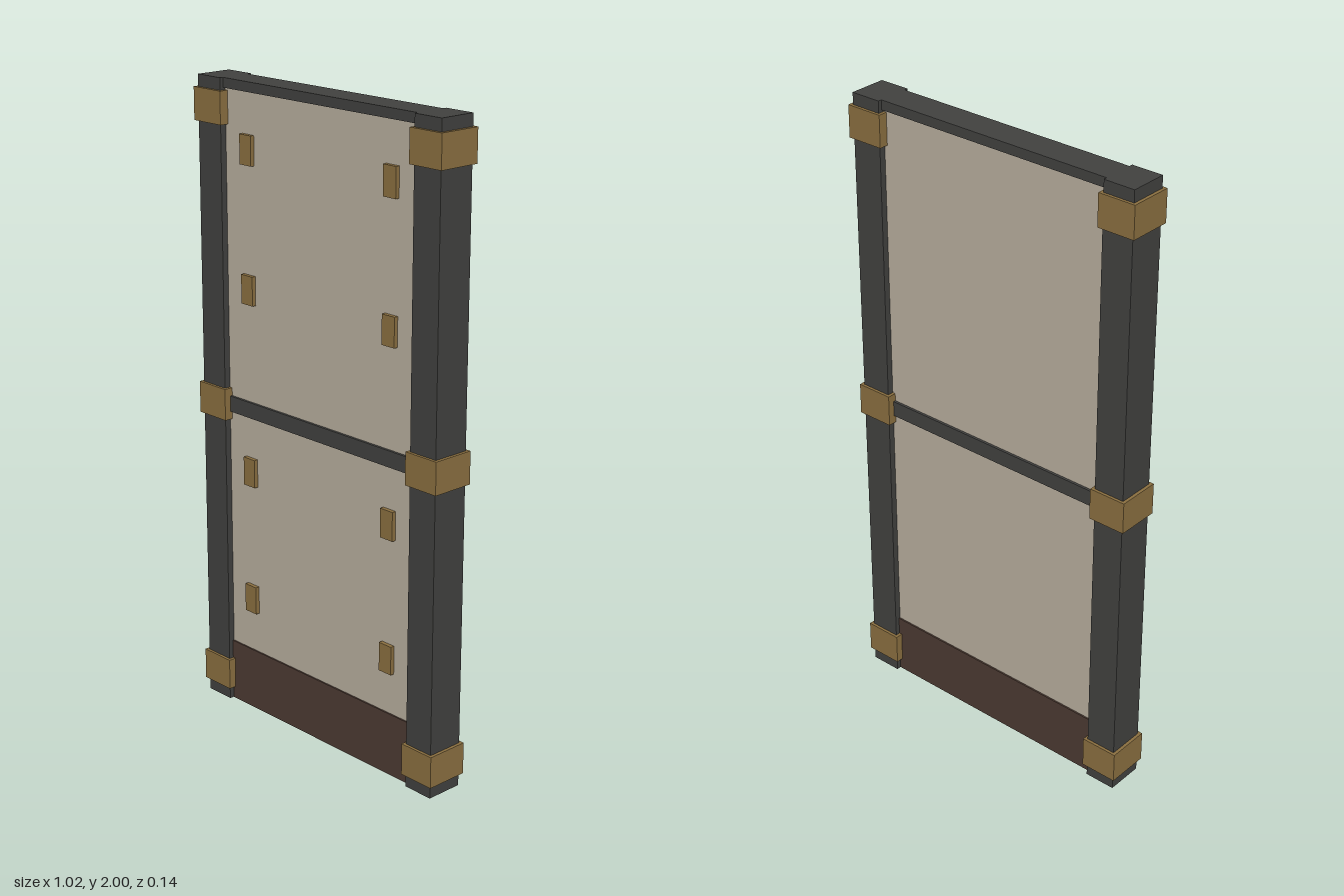
import * as THREE from 'three';

export function createModel() {
  const model = new THREE.Group();
  model.name = 'framedPanel';

  const material = (color) => new THREE.MeshStandardMaterial({ color });
  const iron = material(0x41413f);
  const plaster = material(0xb8ae9e);
  const brass = material(0x8a6f40);
  const wood = material(0x4c3a32);

  const box = (name, mat, [w, h, d], [x, y, z]) => {
    const mesh = new THREE.Mesh(new THREE.BoxGeometry(w, h, d), mat);
    mesh.name = name;
    mesh.position.set(x, y, z);
    model.add(mesh);
  };

  // Infill panels, skirting board and cross rails
  box('lowerPanel', plaster, [0.8, 0.78, 0.08], [0, 0.59, 0]);
  box('upperPanel', plaster, [0.8, 0.95, 0.08], [0, 1.5, 0]);
  box('skirtingBoard', wood, [0.8, 0.2, 0.09], [0, 0.1, 0]);
  box('middleRail', iron, [0.8, 0.05, 0.096], [0, 1, 0]);
  box('topRail', iron, [0.8, 0.03, 0.096], [0, 1.985, 0]);

  for (const [side, s] of [['left', 1], ['right', -1]]) {
    // Corner post with three wrapped bands
    box(`${side}Post`, iron, [0.1, 2, 0.12], [s * 0.45, 1, 0]);
    for (const y of [0.09, 1, 1.913]) {
      box(`${side}Band`, brass, [0.12, 0.1, 0.138], [s * 0.45, y, 0]);
    }
    // Small clips on the front of the panels
    for (const y of [0.378, 0.8, 1.378, 1.8]) {
      box(`${side}Clip`, brass, [0.05, 0.09, 0.016], [s * 0.3, y, 0.045]);
    }
  }
  return model;
}
